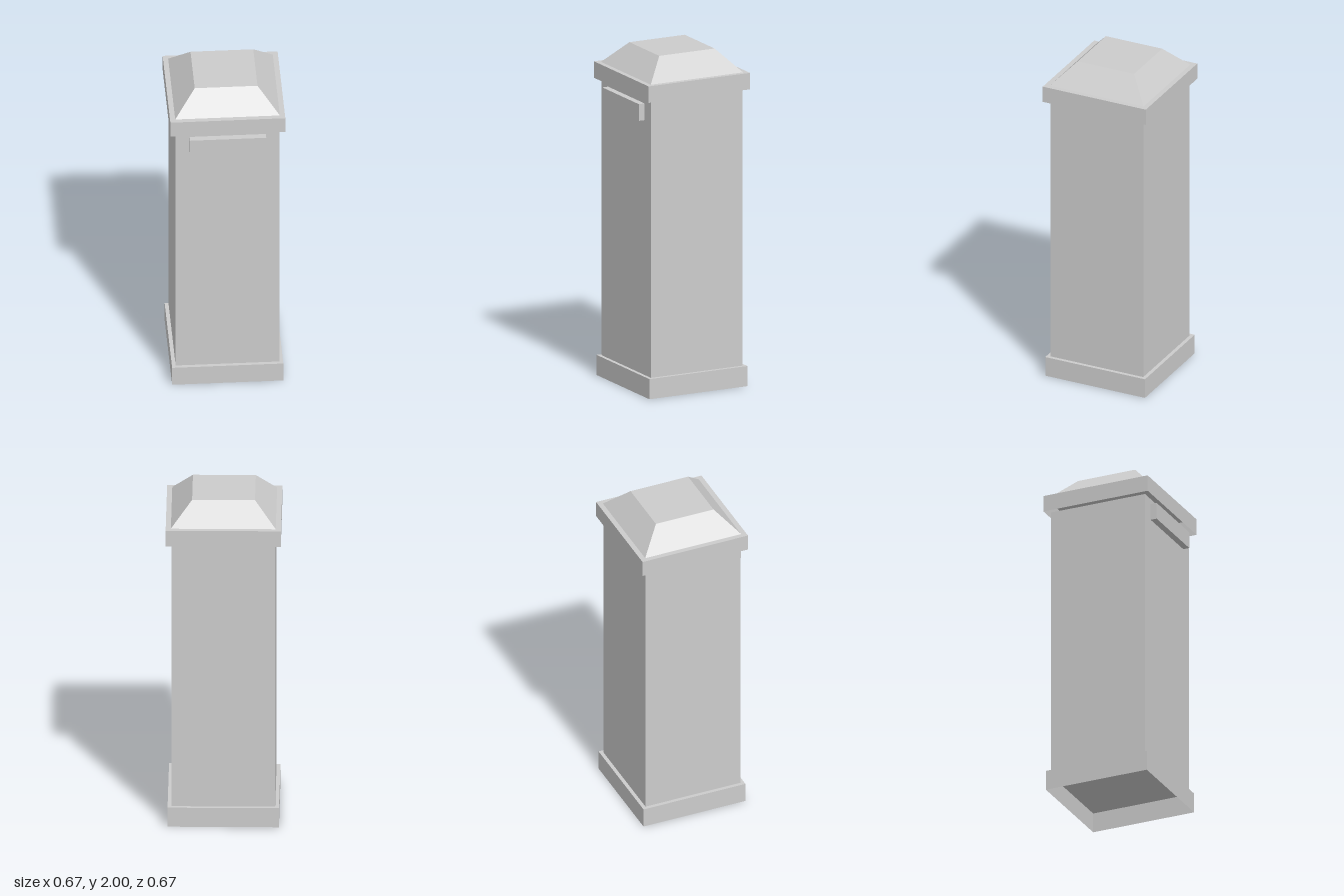
import * as THREE from 'three';

const CENTER_Z = -0.004; // the column sits slightly back so the whole model is centred

// Box that is open underneath, with its top scaled by `taper`
function openBox(width, y0, y1, taper = 1) {
  const box = new THREE.BoxGeometry(width, y1 - y0, width);
  const index = Array.from(box.index.array);
  index.splice(18, 6); // drop the bottom face
  box.setIndex(index);
  box.clearGroups();
  const pos = box.attributes.position;
  for (let i = 0; i < pos.count; i++) {
    if (pos.getY(i) > 0) {
      pos.setX(i, pos.getX(i) * taper);
      pos.setZ(i, pos.getZ(i) * taper);
    }
  }
  box.computeVertexNormals();
  box.translate(0, (y0 + y1) / 2, CENTER_Z);
  return box;
}

export function createModel() {
  const group = new THREE.Group();
  const stone = new THREE.MeshStandardMaterial({ color: 0xcccccc, side: THREE.DoubleSide });
  stone.name = 'pale grey';

  const add = (name, geometry) => {
    const mesh = new THREE.Mesh(geometry, stone);
    mesh.name = name;
    group.add(mesh);
  };

  // Stacked square sections of the post
  add('plinth', openBox(0.644, 0, 0.12));
  add('shaft', openBox(0.6, 0.12, 1.772));
  add('capSlab', openBox(0.666, 1.772, 1.87));
  add('capRoof', openBox(0.606, 1.87, 2, 0.6));

  // Raised plate on the front, under the cap
  const plate = new THREE.BoxGeometry(0.444, 0.1, 0.038);
  plate.translate(0, 1.69, 0.315);
  add('frontPlate', plate);

  return group;
}
